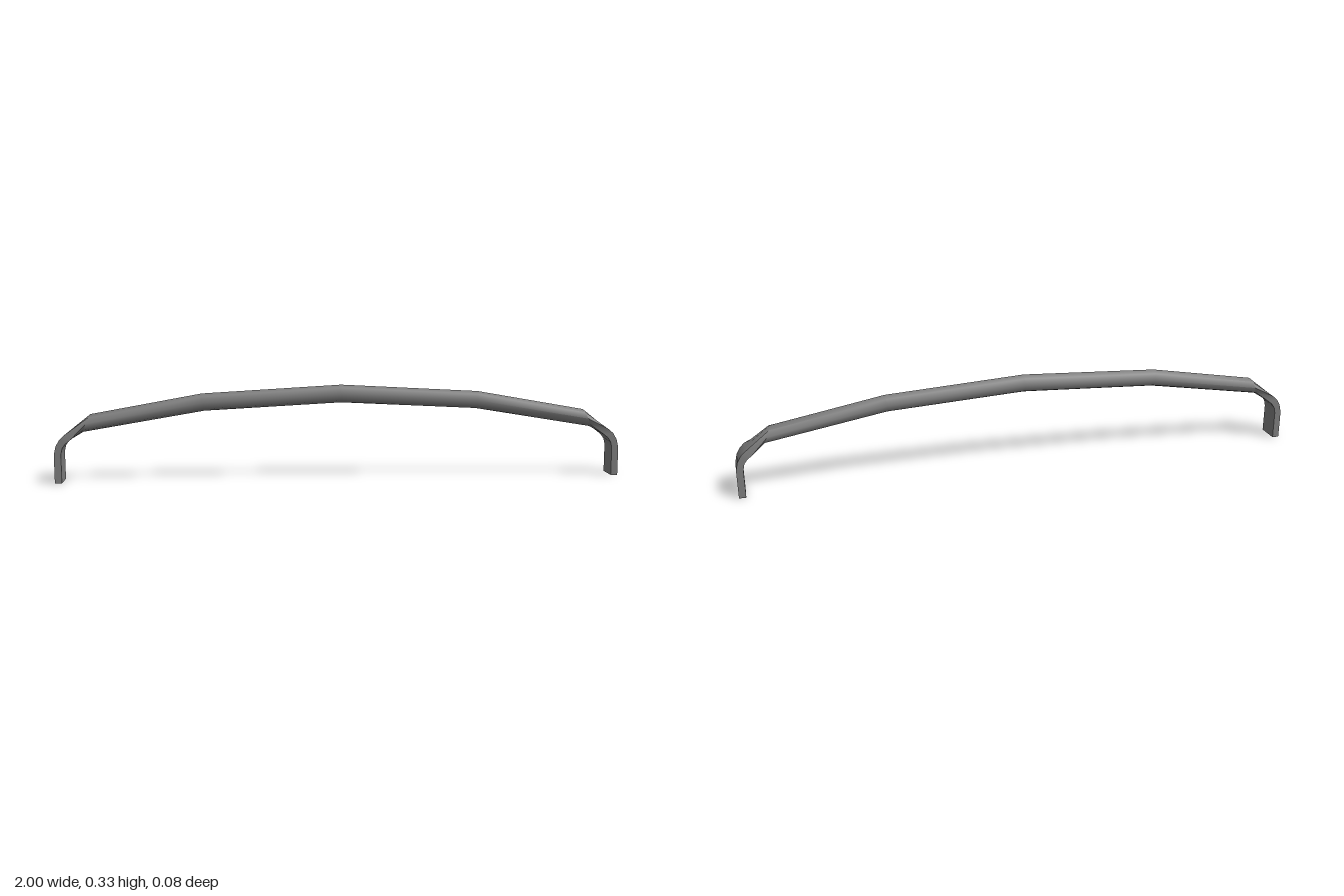
import * as THREE from 'three';
import { toCreasedNormals } from 'three/addons/utils/BufferGeometryUtils.js';

const SIDES = 8;

// Half of the handle, centre to foot. Each section:
// [outer x, outer y, inner x, inner y, half width, 0 = round .. 1 = flat]
const half = [
  [0, 0.332, 0, 0.269, 0.031, 0],
  [0.49, 0.305, 0.483, 0.244, 0.031, 0],
  [0.877, 0.236, 0.903, 0.174, 0.031, 0],
  [0.964, 0.167, 0.945, 0.149, 0.04, 1],
  [0.98, 0.152, 0.96, 0.137, 0.04, 1],
  [0.993, 0.13, 0.971, 0.122, 0.04, 1],
  [1, 0.1, 0.976, 0.1, 0.04, 1],
  [1, 0, 0.976, 0, 0.04, 1],
];

// Ring of points that blends from an octagon to a flat bar section:
// the upper five points become the outer face, the lower three the inner face
function ring([ox, oy, ix, iy, w, flat]) {
  const points = [];
  for (let i = 0; i < SIDES; i++) {
    const a = (i / SIDES) * Math.PI * 2;
    const outer = Math.cos(a) > -0.1;
    const flatSide = outer ? Math.sin(a) : THREE.MathUtils.clamp(Math.sin(a) * Math.SQRT2, -1, 1);
    const up = THREE.MathUtils.lerp(Math.cos(a), outer ? 1 : -1, flat);
    const side = THREE.MathUtils.lerp(Math.sin(a), flatSide, flat);
    const t = (up + 1) / 2;
    points.push([ix + (ox - ix) * t, iy + (oy - iy) * t, side * w]);
  }
  return points;
}

function handleGeometry() {
  const mirrored = half.slice(1).reverse().map(([ox, oy, ix, iy, w, f]) => [-ox, oy, -ix, iy, w, f]);
  const rings = [...mirrored, ...half].map(ring);
  const position = rings.flat(2);
  const index = [];
  for (let r = 0; r < rings.length - 1; r++) {
    for (let i = 0; i < SIDES; i++) {
      const j = (i + 1) % SIDES;
      const a = r * SIDES + i, b = r * SIDES + j;
      const c = a + SIDES, d = b + SIDES;
      index.push(a, b, c, b, d, c);
    }
  }
  // Flat soles under both feet, fanned from the middle of the inner edge
  const last = (rings.length - 1) * SIDES;
  for (let k = 1; k < SIDES - 1; k++) {
    const p = (4 + k) % SIDES, q = (5 + k) % SIDES;
    index.push(4, q, p, last + 4, last + p, last + q);
  }
  const geometry = new THREE.BufferGeometry();
  geometry.setAttribute('position', new THREE.Float32BufferAttribute(position, 3));
  geometry.setIndex(index);
  return toCreasedNormals(geometry, 0.9);
}

export function createModel() {
  const model = new THREE.Group();
  model.name = 'pullHandle';
  const material = new THREE.MeshStandardMaterial({ color: 0x808080 });
  // Bowed round grip running into flattened, bent feet
  const handle = new THREE.Mesh(handleGeometry(), material);
  handle.name = 'handleBar';
  model.add(handle);
  return model;
}
